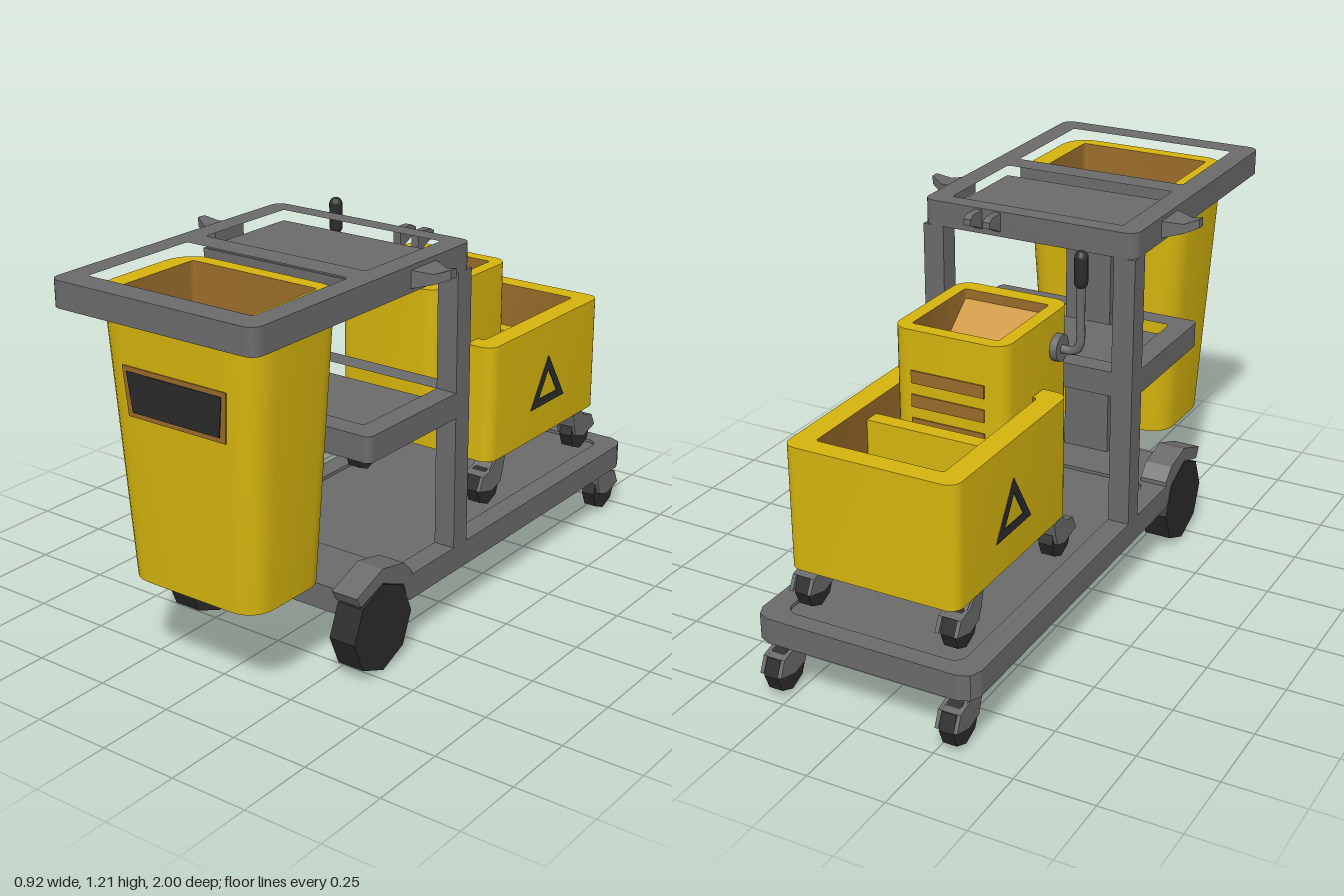
import * as THREE from 'three';
import { toCreasedNormals } from 'three/addons/utils/BufferGeometryUtils.js';

const mat = (name, color, side = THREE.FrontSide) =>
  Object.assign(new THREE.MeshStandardMaterial({ color, side }), { name });

// Rounded rectangle in the ground plane as [x, z] pairs
function roundRect(x0, x1, z0, z1, r, seg = 6) {
  const hx = (x1 - x0) / 2, hz = (z1 - z0) / 2, pts = [];
  const cx = (x0 + x1) / 2, cz = (z0 + z1) / 2;
  r = Math.min(r, hx, hz);
  [[1, 1], [-1, 1], [-1, -1], [1, -1]].forEach(([sx, sz], q) => {
    for (let i = 0; i <= seg; i++) {
      const a = (q + i / seg) * Math.PI / 2;
      pts.push([cx + sx * (hx - r) + r * Math.cos(a), cz + sz * (hz - r) + r * Math.sin(a)]);
    }
  });
  return pts;
}

// Skin through rings [x0, x1, z0, z1, radius, y]; y may be a function of z
function loft(rings) {
  const pos = [], index = [];
  rings.forEach(([x0, x1, z0, z1, r, y]) => {
    for (const [x, z] of roundRect(x0, x1, z0, z1, r)) pos.push(x, typeof y === 'function' ? y(z) : y, z);
  });
  const n = pos.length / 3 / rings.length;
  for (let i = 0; i < rings.length - 1; i++) {
    for (let j = 0; j < n; j++) {
      const a = i * n + j, b = i * n + (j + 1) % n;
      index.push(a, a + n, b, b, a + n, b + n);
    }
  }
  const g = new THREE.BufferGeometry();
  g.setAttribute('position', new THREE.Float32BufferAttribute(pos, 3));
  g.setIndex(index);
  return toCreasedNormals(g, 0.6);
}

// Flat slab with holes, outlines given as [x, z] lists
function slab(outline, holes, y, h) {
  const v = (list) => list.map(([x, z]) => new THREE.Vector2(x, -z));
  const s = new THREE.Shape(v(outline));
  holes.forEach((o) => s.holes.push(new THREE.Path(v(o))));
  return new THREE.ExtrudeGeometry(s, { depth: h, bevelEnabled: false }).rotateX(-Math.PI / 2).translate(0, y, 0);
}

// Side profile of [z, y] points extruded between x0 and x1
function sideProfile(pts, x0, x1) {
  const s = new THREE.Shape(pts.map(([z, y]) => new THREE.Vector2(z, y)));
  return new THREE.ExtrudeGeometry(s, { depth: x1 - x0, bevelEnabled: false })
    .rotateY(-Math.PI / 2).translate(x1, 0, 0);
}

const box = (x0, x1, y0, y1, z0, z1) => new THREE.BoxGeometry(x1 - x0, y1 - y0, z1 - z0)
  .translate((x0 + x1) / 2, (y0 + y1) / 2, (z0 + z1) / 2);

const wheelGeo = (r, w) => toCreasedNormals(new THREE.CylinderGeometry(r, r, w, 8).rotateZ(Math.PI / 2), 0.3);

export function createModel() {
  const root = new THREE.Group();
  root.name = 'cleaningCart';
  const yellow = mat('yellowPlastic', 0xd6b50e), grey = mat('greyPlastic', 0x6b6b6b);
  const dark = mat('darkRubber', 0x2b2b2b), brown = mat('brownInterior', 0x9a6c2a);
  const tan = mat('tanRamp', 0xcc9438, THREE.DoubleSide);
  const add = (name, geo, material, parent = root) => {
    const m = new THREE.Mesh(geo, material);
    m.name = name;
    parent.add(m);
    return m;
  };

  // Top tray with bin opening and shallow recess
  add('topTray', slab(roundRect(-0.36, 0.36, 0.02, 1, 0.035),
    [roundRect(-0.29, 0.29, 0.52, 0.92, 0.01), roundRect(-0.29, 0.29, 0.08, 0.44, 0.01)], 1.13, 0.08), grey);
  add('topTrayFloor', box(-0.295, 0.295, 1.13, 1.175, 0.075, 0.445), grey);

  // Middle shelf, posts and central column
  add('shelfRim', slab(roundRect(-0.36, 0.36, 0.02, 0.52, 0.02),
    [roundRect(-0.29, 0.29, 0.09, 0.45, 0.01)], 0.68, 0.08), grey);
  add('shelfFloor', box(-0.295, 0.295, 0.68, 0.72, 0.085, 0.455), grey);
  for (const s of [-1, 1]) {
    add('post', box(-0.035, 0.035, 0.25, 1.13, 0.02, 0.09).translate(s * 0.325, 0, 0), grey);
  }
  add('centralColumn', box(-0.08, 0.08, 0.25, 1.13, 0.45, 0.52), grey);

  // Deck, narrowed between the front wheels
  const deck = [[-0.36, 0.32], [-0.265, 0.32], [-0.265, 0.52], [0.265, 0.52], [0.265, 0.32], [0.36, 0.32],
    [0.36, -0.92], [0.345, -0.955], [0.31, -0.97], [-0.31, -0.97], [-0.345, -0.955], [-0.36, -0.92]];
  add('deck', slab(deck, [], 0.175, 0.07), grey);
  add('deckRim', slab(deck, [roundRect(-0.29, 0.29, -0.91, 0.3, 0.04)], 0.245, 0.011), grey);

  // Big front wheels with guards
  for (const s of [-1, 1]) {
    add('frontWheel', wheelGeo(0.14, 0.09).translate(s * 0.317, 0.142, 0.455), dark);
    add('wheelGuard', sideProfile([[0.31, 0.18], [0.31, 0.27], [0.35, 0.31], [0.455, 0.332], [0.58, 0.285],
      [0.56, 0.25], [0.455, 0.285], [0.35, 0.24], [0.33, 0.18]], -0.045, 0.045).translate(s * 0.315, 0, 0), grey);
  }

  // Castors: dir is the way the wheel trails along z
  function castor(name, x, y, z, r, top, dir) {
    const g = new THREE.Group();
    g.name = name;
    g.position.set(x, y, z);
    g.rotation.y = dir > 0 ? 0 : Math.PI;
    add('castorWheel', wheelGeo(r, 0.045), dark, g);
    const h = top - y;
    const fork = [[-0.075, h], [-0.02, h], [0, r * 0.95], [0.05, r * 0.75], [0.072, 0.005],
      [0, -0.015], [-0.05, 0], [-0.065, 0.04]];
    for (const x0 of [-0.036, 0.024]) add('castorFork', sideProfile(fork, x0, x0 + 0.012), grey, g);
    add('castorStem', sideProfile([[-0.075, h], [-0.02, h], [0.01, r * 0.9], [0.05, r * 0.75], [-0.06, r * 0.5]],
      -0.03, 0.03), grey, g);
    root.add(g);
  }
  for (const s of [-1, 1]) {
    castor('deckCastor', s * 0.29, 0.08, -0.925, 0.072, 0.176, -1);
    castor('bucketFrontCastor', s * 0.24, 0.318, -0.25, 0.064, 0.401, 1);
    castor('bucketRearCastor', s * 0.24, 0.318, -0.83, 0.064, 0.401, -1);
  }

  // Tapered hooks on both sides of the tray
  for (const s of [-1, 1]) {
    let geo = new THREE.BoxGeometry(2, 1, 1, 2, 1, 1);
    const p = geo.attributes.position;
    const sections = [[0.35, 1.14, 1.197, 0.065], [0.42, 1.158, 1.188, 0.035], [0.462, 1.176, 1.203, 0.014]];
    for (let i = 0; i < p.count; i++) {
      const [x, lo, hi, w] = sections[Math.round(p.getX(i) + 1)];
      p.setXYZ(i, x, p.getY(i) > 0 ? hi : lo, Math.sign(p.getZ(i)) * w);
    }
    geo = geo.toNonIndexed();
    geo.computeVertexNormals();
    const hook = add('sideHook', geo, grey);
    hook.position.z = 0.265;
    hook.rotation.y = s > 0 ? 0 : Math.PI;
  }
  // Pair of prongs holding a broom handle at the rear
  for (const x of [0.1, 0.165]) {
    add('handleClip', sideProfile([[0.03, 1.14], [0.03, 1.205], [-0.03, 1.205], [-0.05, 1.195], [-0.05, 1.175], [-0.02, 1.165]],
      x - 0.012, x + 0.012), grey);
  }

  // Waste bin: tapered shell, rim and cavity
  add('binShell', loft([[0, 0, 0.72, 0.72, 0, 0.31], [-0.24, 0.24, 0.56, 0.885, 0.08, 0.31],
    [-0.288, 0.288, 0.523, 0.918, 0.09, 1.13], [-0.288, 0.288, 0.523, 0.918, 0.09, 1.18],
    [-0.225, 0.225, 0.57, 0.87, 0.012, 1.18]]), yellow);
  add('binCavity', loft([[-0.225, 0.225, 0.57, 0.87, 0.012, 1.18], [-0.205, 0.205, 0.59, 0.855, 0.012, 0.45],
    [0, 0, 0.72, 0.72, 0, 0.45]]), brown);

  // Bin label: trapezoid frame and panel
  const plate = (name, top, bottom, h, z, m) => {
    const s = new THREE.Shape([[-bottom, -h], [bottom, -h], [top, h], [-top, h]].map(([x, y]) => new THREE.Vector2(x, y)));
    const mesh = add(name, new THREE.ExtrudeGeometry(s, { depth: 0.006, bevelEnabled: false }), m);
    mesh.position.set(0, 0.9, z);
    mesh.rotation.x = 0.043;
  };
  plate('labelFrame', 0.186, 0.175, 0.075, 0.906, brown);
  plate('labelPanel', 0.17, 0.156, 0.06, 0.909, dark);

  // Mop bucket with divider
  add('bucketShell', loft([[0, 0, -0.57, -0.57, 0, 0.4], [-0.275, 0.275, -0.9, -0.235, 0.04, 0.4],
    [-0.275, 0.275, -0.9, -0.235, 0.04, 0.785], [-0.205, 0.205, -0.835, -0.3, 0.012, 0.785]]), yellow);
  add('bucketCavity', loft([[-0.205, 0.205, -0.835, -0.3, 0.012, 0.785], [-0.205, 0.205, -0.835, -0.3, 0.012, 0.44],
    [0, 0, -0.57, -0.57, 0, 0.44]]), brown);
  add('bucketDivider', box(-0.205, 0.205, 0.44, 0.74, -0.575, -0.525), yellow);

  // Warning triangles on the bucket sides
  for (const s of [-1, 1]) {
    const tri = (w, lo, hi) => [[-w, lo], [w, lo], [0, hi]].map(([x, y]) => new THREE.Vector2(x, y));
    const shape = new THREE.Shape(tri(0.102, 0.505, 0.668));
    shape.holes.push(new THREE.Path(tri(0.056, 0.532, 0.622)));
    const t = add('warningTriangle', new THREE.ExtrudeGeometry(shape, { depth: 0.004, bevelEnabled: false }), dark);
    t.position.set(s * 0.274, 0, -0.577);
    t.rotation.y = s * Math.PI / 2;
  }

  // Wringer: shell with sloping underside, cavity and press ramp
  const under = (z) => 0.62 + (z + 0.06) * 0.26;
  add('wringerShell', loft([[-0.005, -0.005, -0.265, -0.265, 0, under], [-0.19, 0.18, -0.47, -0.06, 0.05, under],
    [-0.19, 0.18, -0.47, -0.06, 0.05, 1], [-0.147, 0.137, -0.425, -0.115, 0.01, 1]]), yellow);
  add('wringerCavity', loft([[-0.147, 0.137, -0.425, -0.115, 0.01, 1], [-0.147, 0.137, -0.425, -0.115, 0.01, 0.7],
    [-0.005, -0.005, -0.27, -0.27, 0, 0.7]]), brown);
  add('wringerRamp', sideProfile([[-0.116, 0.97], [-0.424, 0.72], [-0.424, 0.71], [-0.116, 0.96]], -0.146, 0.136), tan);
  for (let i = 0; i < 3; i++) {
    const y = 0.855 - i * 0.075;
    add('wringerSlot', box(-0.125, 0.115, y - 0.02, y + 0.02, -0.474, -0.468), brown);
  }

  // Wringer crank
  const hub = add('crankHub', new THREE.CylinderGeometry(0.042, 0.042, 0.025, 16).rotateZ(Math.PI / 2), grey);
  hub.position.set(-0.2, 0.89, -0.155);
  const path = new THREE.CatmullRomCurve3([[-0.18, 0.89], [-0.25, 0.89], [-0.268, 0.91], [-0.27, 1.0], [-0.27, 1.1]]
    .map(([x, y]) => new THREE.Vector3(x, y, -0.155)));
  add('crankRod', new THREE.TubeGeometry(path, 20, 0.014, 8), grey);
  const grip = add('crankGrip', new THREE.CapsuleGeometry(0.021, 0.075, 4, 10), dark);
  grip.position.set(-0.27, 1.145, -0.155);

  return root;
}
